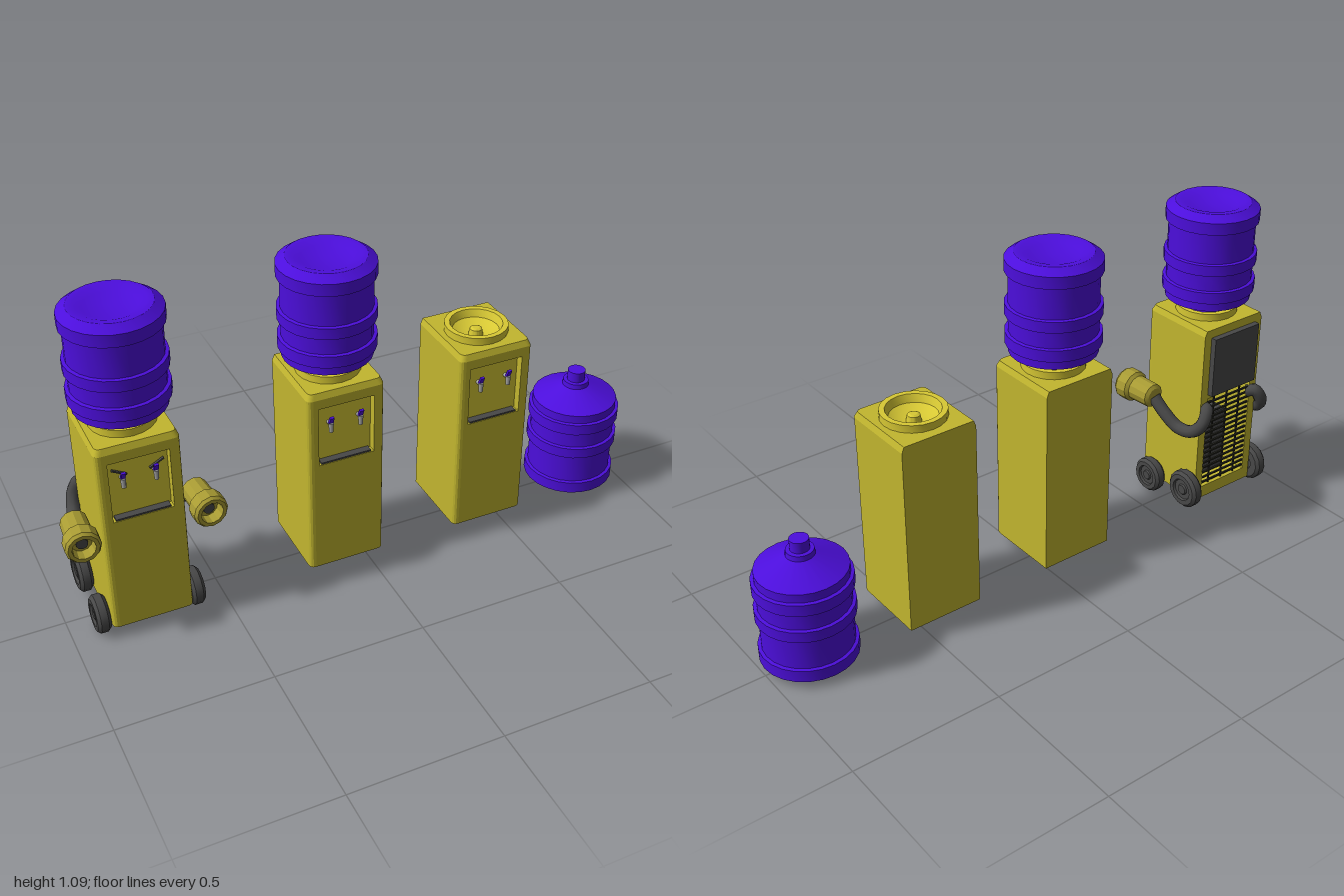
import * as THREE from 'three';
import { toCreasedNormals } from 'three/addons/utils/BufferGeometryUtils.js';

const mat = (name, color, side = THREE.FrontSide) => {
  const m = new THREE.MeshStandardMaterial({ color, side });
  m.name = name;
  return m;
};

const W = 0.13, BACK = 0.135, FRONT = 0.138; // cabinet half width, rear and front depth
const BASE = 0.045, TOP = 0.705;

export function createModel() {
  const yellow = mat('cabinetYellow', 0xc2b62f);
  const trim = mat('trimYellow', 0xd8c934);
  const handYellow = mat('handYellow', 0xa89b33);
  const purple = mat('bottlePurple', 0x4c0edc);
  const dark = mat('darkGrey', 0x484848);
  const black = mat('slatBlack', 0x26261f);
  const metal = mat('tapGrey', 0xa8a8a8);

  const add = (parent, name, geo, material, x = 0, y = 0, z = 0) => {
    const m = new THREE.Mesh(geo, material);
    m.name = name;
    m.position.set(x, y, z);
    parent.add(m);
    return m;
  };
  const box = (parent, name, w, h, d, material, x, y, z) =>
    add(parent, name, new THREE.BoxGeometry(w, h, d), material, x, y, z);
  const lathe = (pts, n) => toCreasedNormals(
    new THREE.LatheGeometry(pts.map(p => new THREE.Vector2(p[0], p[1])), n), 0.45);

  // One storey of the cabinet: a plan outline with rounded front corners and optional notches
  function storey(y0, y1, { front = 0, back = 0, hole = 0, taper = false } = {}) {
    const s = new THREE.Shape(), r = 0.02, n = 0.094, k = 0.1;
    s.moveTo(-W, BACK);
    if (back) {
      s.lineTo(-k, BACK); s.lineTo(-k, BACK - back);
      s.lineTo(k, BACK - back); s.lineTo(k, BACK);
    }
    s.lineTo(W, BACK);
    s.lineTo(W, -FRONT + r);
    s.quadraticCurveTo(W, -FRONT, W - r, -FRONT);
    if (front) {
      s.lineTo(n, -FRONT); s.lineTo(n, -FRONT + front);
      s.lineTo(-n, -FRONT + front); s.lineTo(-n, -FRONT);
    }
    s.lineTo(-W + r, -FRONT);
    s.quadraticCurveTo(-W, -FRONT, -W, -FRONT + r);
    if (hole) {
      const h = new THREE.Path();
      h.absarc(0, 0, hole, 0, Math.PI * 2, true);
      s.holes.push(h);
    }
    const g = new THREE.ExtrudeGeometry(s, { depth: y1 - y0, bevelEnabled: false, curveSegments: hole ? 10 : 4 });
    g.rotateX(-Math.PI / 2).translate(0, y0, 0);
    if (taper) { // pull the top edge in at the sides and front
      const p = g.attributes.position;
      for (let i = 0; i < p.count; i++) {
        if (p.getY(i) < y1 - 0.001) continue;
        if (Math.abs(p.getX(i)) > hole) p.setX(i, p.getX(i) - Math.sign(p.getX(i)) * 0.008);
        if (p.getZ(i) > hole + 0.01) p.setZ(i, p.getZ(i) - 0.009);
      }
      g.computeVertexNormals();
    }
    return g;
  }

  // Ribbed water bottle, base at y = 0, neck upward
  const bottleGeo = lathe([
    [0, 0.014], [0.08, 0.01], [0.105, 0], [0.125, 0], [0.154, 0.02], [0.154, 0.06],
    [0.143, 0.062], [0.143, 0.165], [0.154, 0.167], [0.154, 0.204], [0.143, 0.206],
    [0.143, 0.261], [0.154, 0.263], [0.154, 0.302], [0.143, 0.304], [0.143, 0.333],
    [0.045, 0.378], [0.043, 0.395], [0.03, 0.396], [0.03, 0.432], [0, 0.432]], 24);

  // Ring and funnel the bottle sits in
  const collarGeo = lathe([
    [0.104, 0.70], [0.104, 0.73], [0.086, 0.73], [0.076, 0.705], [0.05, 0.69],
    [0.024, 0.687], [0.02, 0.708], [0.012, 0.712], [0, 0.712]], 20);

  function cooler(name, x, { bottle = true, robot = false } = {}) {
    const g = new THREE.Group();
    g.name = name;
    g.position.x = x;
    const depth = 0.03, floorZ = FRONT - depth;

    // Cabinet
    if (robot) {
      add(g, 'cabinetBase', storey(BASE, 0.09), yellow);
      add(g, 'cabinetLower', storey(0.09, 0.444, { back: 0.17 }), yellow);
    } else add(g, 'cabinetLower', storey(BASE, 0.444), yellow);
    add(g, 'cabinetMiddle', storey(0.444, 0.652, { front: depth }), yellow);
    add(g, 'cabinetUpper', storey(0.652, 0.685), yellow);
    add(g, 'cabinetTop', storey(0.685, TOP, { hole: 0.09, taper: true }), yellow);
    add(g, 'collar', collarGeo, trim);

    // Tap niche
    box(g, 'nichePanel', 0.186, 0.206, 0.004, trim, 0, 0.548, floorZ + 0.002);
    box(g, 'dripTray', 0.17, 0.006, 0.024, dark, 0, 0.447, floorZ + 0.016);
    for (const s of [-1, 1]) {
      const tap = new THREE.Group();
      tap.name = 'tap';
      tap.position.set(s * 0.05, 0.582, floorZ);
      g.add(tap);
      const stem = new THREE.CylinderGeometry(0.007, 0.007, 0.026, 8).rotateX(Math.PI / 2);
      add(tap, 'tapStem', stem, metal, 0, 0, 0.013);
      add(tap, 'tapSpout', new THREE.CylinderGeometry(0.009, 0.007, 0.032, 8), metal, 0, -0.01, 0.024);
      const lever = box(tap, 'tapLever', 0.014, 0.03, 0.008, purple, 0, 0.016, 0.026);
      lever.rotation.x = 0.4;
      if (robot) {
        const brow = box(g, 'brow', 0.05, 0.005, 0.008, dark, s * 0.057, 0.604, floorZ + 0.012);
        brow.rotation.z = s * 0.5;
      }
    }

    if (bottle) add(g, 'bottle', bottleGeo, purple, 0, 1.094, 0).rotation.x = Math.PI;
    return g;
  }

  function addRobotParts(g) {
    // Rear panel and grille with the machinery behind it
    box(g, 'rearPanel', 0.2, 0.215, 0.02, dark, 0, 0.568, -BACK - 0.01);
    for (let i = 0; i < 17; i++)
      box(g, 'grilleSlat', 0.2, 0.006, 0.006, black, 0, 0.105 + i * 0.02, -BACK + 0.004);
    for (const x of [-0.06, 0, 0.06])
      box(g, 'grillePost', 0.005, 0.354, 0.005, black, x, 0.267, -BACK + 0.009);
    box(g, 'compressor', 0.1, 0.24, 0.07, dark, 0, 0.21, -0.04);

    const handGeo = lathe([
      [0, 0], [0.03, 0], [0.042, 0.008], [0.044, 0.085], [0.055, 0.095], [0.055, 0.137],
      [0.048, 0.147], [0.036, 0.147], [0.033, 0.11], [0, 0.11]], 12).rotateX(Math.PI / 2);
    const wheelGeo = lathe([
      [0, -0.016], [0.4, -0.016], [0.45, -0.022], [0.85, -0.022], [1, -0.012], [1, 0.012],
      [0.85, 0.022], [0.6, 0.022], [0.55, 0.014], [0.3, 0.014], [0.25, 0.02], [0, 0.02]]
      .map(p => [p[0] * 0.066, p[1]]), 14).rotateZ(-Math.PI / 2);

    for (const s of [-1, 1]) {
      // Hose arm
      const path = new THREE.CatmullRomCurve3([
        [0.1, 0.405, -0.125], [0.115, 0.412, -0.15], [0.138, 0.37, -0.158], [0.152, 0.33, -0.125],
        [0.163, 0.323, -0.065], [0.177, 0.36, -0.012], [0.187, 0.405, 0.035]]
        .map(p => new THREE.Vector3(s * p[0], p[1], p[2])));
      add(g, 'hoseArm', new THREE.TubeGeometry(path, 36, 0.022, 10), dark);

      // Cuffed hand
      const hand = new THREE.Group();
      hand.name = 'hand';
      hand.position.set(s * 0.189, 0.41, 0.03);
      hand.rotation.y = s * 0.06;
      g.add(hand);
      add(hand, 'cuff', handGeo, handYellow);
      const core = new THREE.CylinderGeometry(0.018, 0.018, 0.012, 10).rotateX(Math.PI / 2);
      add(hand, 'handCore', core, dark, 0, 0, 0.116);

      // Wheels, the rear pair set higher
      for (const [name, y, z, k] of [['frontWheel', 0.062, 0.07, 0.94], ['rearWheel', 0.095, -0.113, 1.03]]) {
        const wheel = add(g, name, wheelGeo, dark, s * 0.154, y, z);
        wheel.scale.set(1, k, k);
        if (s < 0) wheel.rotation.y = Math.PI;
      }
    }
  }

  const model = new THREE.Group();
  model.name = 'waterCoolers';
  const robot = cooler('robotCooler', -0.75, { robot: true });
  addRobotParts(robot);
  model.add(robot, cooler('cooler', -0.09), cooler('emptyCooler', 0.435, { bottle: false }));
  add(model, 'spareBottle', bottleGeo, purple, 0.846, 0.008, 0);
  return model;
}
